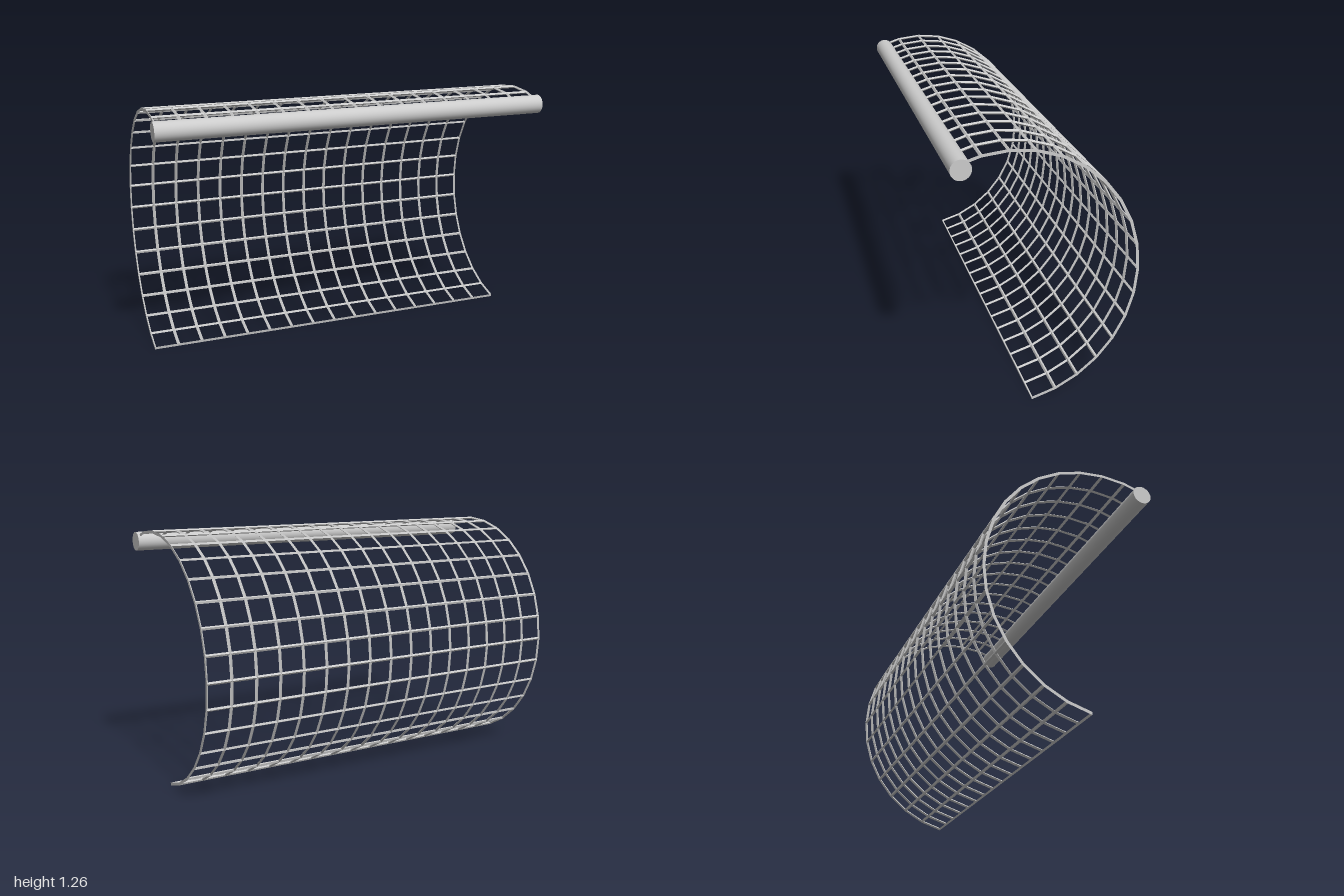
import * as THREE from 'three';

const HALF = 0.988;              // half length of the mesh along x
const COLS = 16, ROWS = 17;      // cells along x and around the curve
const STEP = Math.PI / 16, START = -7 * STEP;
const CY = 0.622, CZ = 0.18, RY = 0.627, RZ = 0.606;
const W = 0.008, T = 0.007;      // half width and half thickness of a wire

const angle = (i) => START + i * STEP;
const curvePoint = (a, x) => new THREE.Vector3(x, CY + RY * Math.sin(a), CZ - RZ * Math.cos(a));
const curveNormal = (a) => new THREE.Vector3(0, Math.sin(a), -Math.cos(a));

// Wire with a diamond section swept along stations { point, side, normal };
// lo and hi trim the section so border wires are only half as wide.
function wireGeometry(stations, lo = -W, hi = W) {
  const section = [[hi, 0], [0, T], [lo, 0], [0, -T]];
  const positions = [], index = [];
  stations.forEach(({ point, side, normal }) => {
    for (const [s, n] of section) {
      const v = point.clone().addScaledVector(side, s).addScaledVector(normal, n);
      positions.push(v.x, v.y, v.z);
    }
  });
  const last = (stations.length - 1) * 4;
  for (let i = 0; i < last; i += 4) {
    for (let j = 0; j < 4; j++) {
      const a = i + j, b = i + (j + 1) % 4;
      index.push(a, b, b + 4, a, b + 4, a + 4);
    }
  }
  index.push(0, 2, 1, 0, 3, 2, last, last + 1, last + 2, last, last + 2, last + 3);
  const geometry = new THREE.BufferGeometry();
  geometry.setAttribute('position', new THREE.Float32BufferAttribute(positions, 3));
  geometry.setIndex(index);
  geometry.computeVertexNormals();
  return geometry;
}

export function createModel() {
  const model = new THREE.Group();
  model.name = 'curvedMeshScreen';
  const wireMaterial = new THREE.MeshStandardMaterial({ color: 0xcccccc, flatShading: true });
  const barMaterial = new THREE.MeshStandardMaterial({ color: 0xcccccc });

  // Curved wires, running from the bottom edge over the top into the bar
  const curvedWires = new THREE.Group();
  curvedWires.name = 'curvedWires';
  const across = new THREE.Vector3(1, 0, 0);
  for (let c = 0; c <= COLS; c++) {
    const x = -HALF + (2 * HALF * c) / COLS;
    const stations = [];
    for (let r = 0; r <= ROWS; r++) {
      stations.push({ point: curvePoint(angle(r), x), side: across, normal: curveNormal(angle(r)) });
    }
    const wire = new THREE.Mesh(
      wireGeometry(stations, c === 0 ? 0 : -W, c === COLS ? 0 : W), wireMaterial);
    wire.name = 'curvedWire';
    curvedWires.add(wire);
  }
  model.add(curvedWires);

  // Straight wires along the length, one at each bend of the curve
  const straightWires = new THREE.Group();
  straightWires.name = 'straightWires';
  for (let r = 0; r <= ROWS; r++) {
    const a = angle(r);
    const side = new THREE.Vector3(0, -Math.cos(a), -Math.sin(a));
    const stations = [-HALF, HALF].map((x) => ({ point: curvePoint(a, x), side, normal: curveNormal(a) }));
    const wire = new THREE.Mesh(
      wireGeometry(stations, r === ROWS ? 0 : -W, r === 0 ? 0 : W), wireMaterial);
    wire.name = 'straightWire';
    straightWires.add(wire);
  }
  model.add(straightWires);

  // Round bar holding the upper edge
  const bar = new THREE.Mesh(new THREE.CylinderGeometry(0.047, 0.047, 2, 32), barMaterial);
  bar.name = 'topBar';
  bar.rotation.z = Math.PI / 2;
  bar.position.set(0, 1.188, 0.386);
  model.add(bar);

  return model;
}
